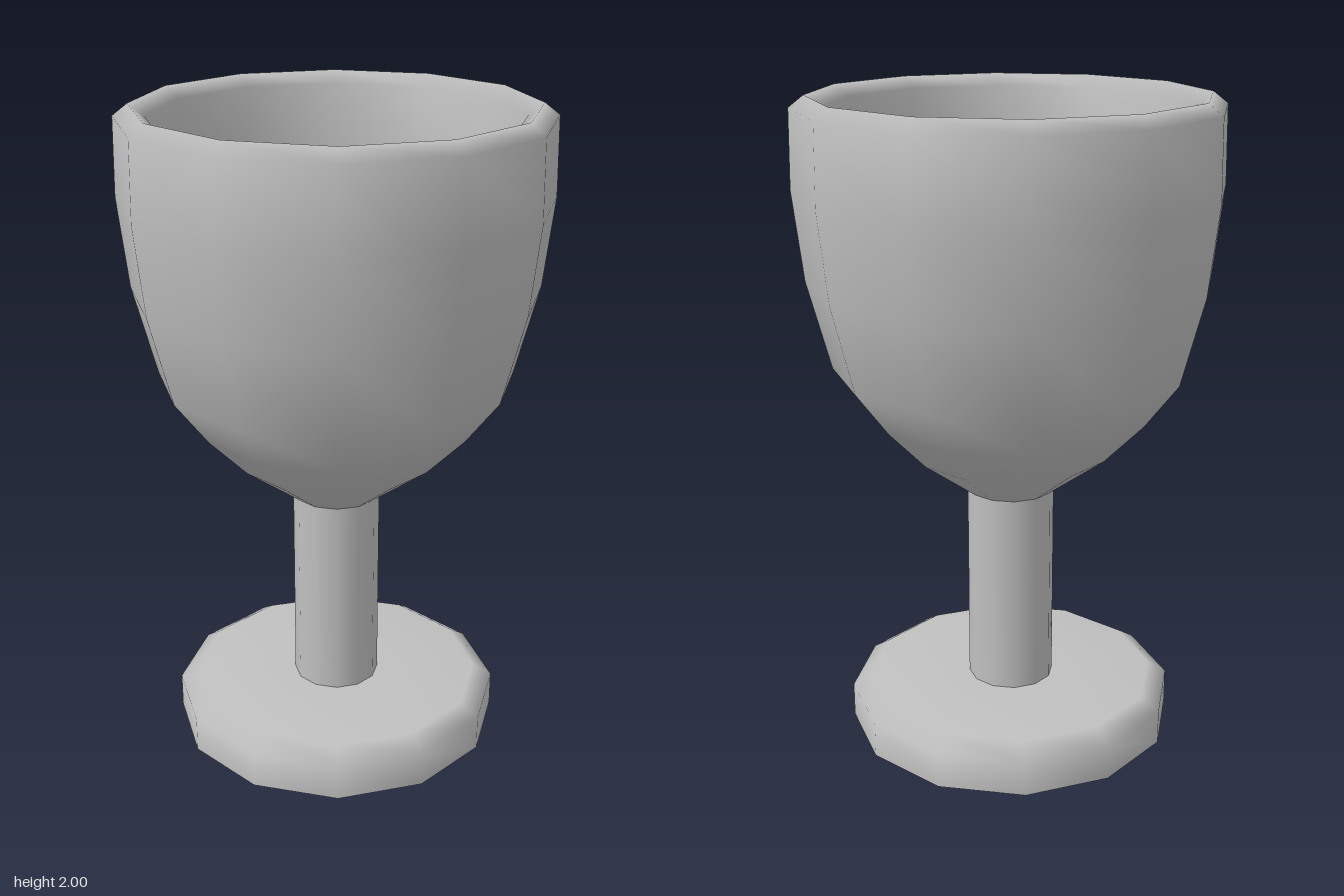
import * as THREE from 'three';

const SIDES = 12;

export function createModel() {
  const goblet = new THREE.Group();
  goblet.name = 'goblet';
  const grey = new THREE.MeshStandardMaterial({ color: 0xc0c0c0 });
  grey.name = 'plain grey';

  // Turned part from [radius, height] pairs; each part is smooth, joints between parts stay sharp
  const turn = (name, profile) => {
    const points = profile.map(([r, y]) => new THREE.Vector2(r, y));
    const mesh = new THREE.Mesh(new THREE.LatheGeometry(points, SIDES), grey);
    mesh.name = name;
    goblet.add(mesh);
  };

  // Foot with a bevelled upper edge
  turn('footUnderside', [[0, 0], [0.515, 0]]);
  turn('foot', [[0.515, 0], [0.515, 0.11], [0.455, 0.148], [0.135, 0.148]]);

  turn('stem', [[0.135, 0.148], [0.135, 0.79]]);

  // Bowl: outer wall, rounded rim and inner wall
  turn('bowl', [
    [0.135, 0.79], [0.31, 0.92], [0.435, 1.05], [0.54, 1.19], [0.61, 1.46],
    [0.64, 1.73], [0.635, 1.965], [0.59, 2.0], [0.545, 1.965],
    [0.545, 1.73], [0.525, 1.46], [0.47, 1.19],
  ]);
  turn('bowlFloor', [[0.47, 1.19], [0, 1.19]]);

  return goblet;
}
